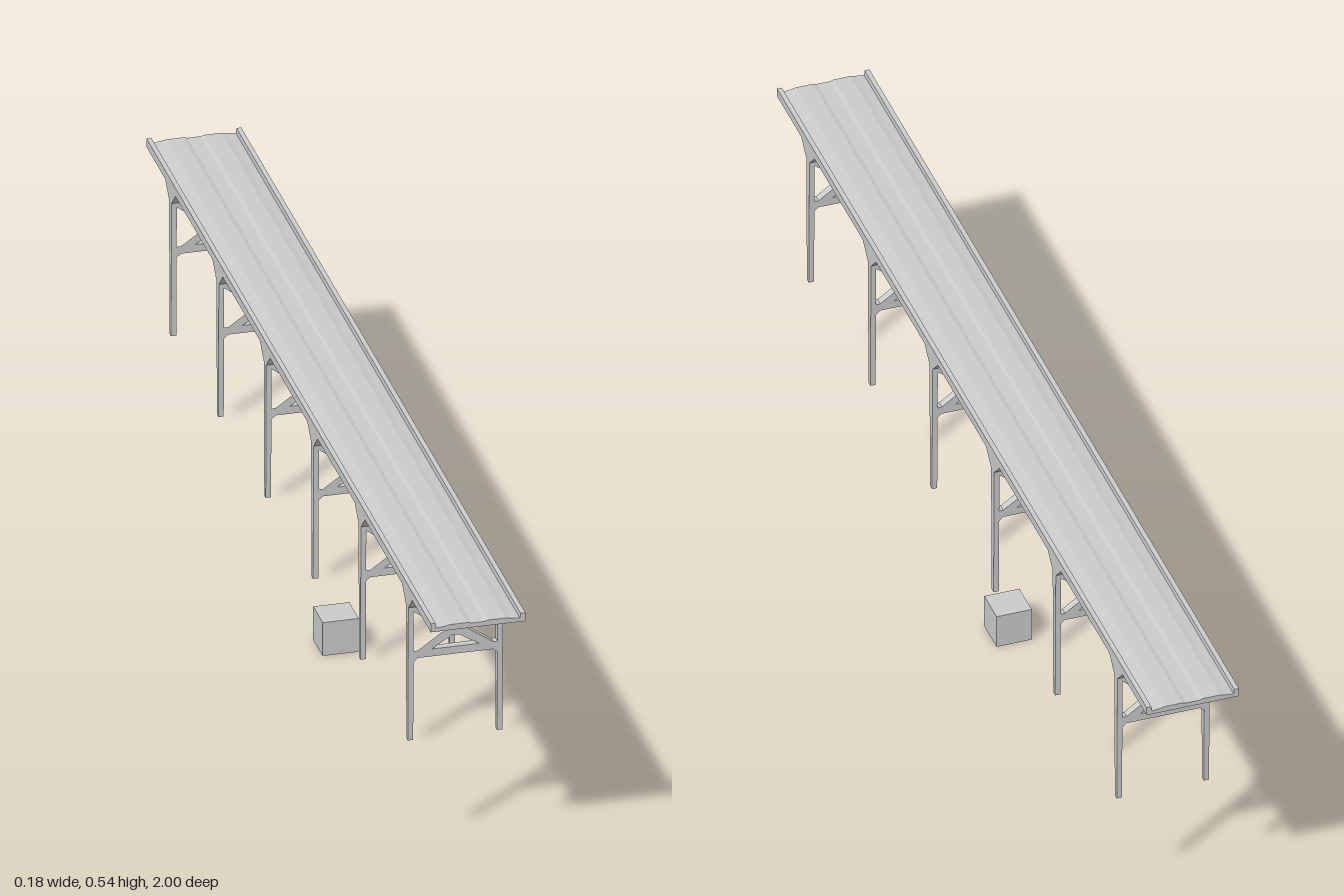
import * as THREE from 'three';

const material = new THREE.MeshStandardMaterial({ color: 0xcccccc, flatShading: true });

const toShape = (pts) => new THREE.Shape(pts.map(([x, y]) => new THREE.Vector2(x, y)));

// Completes a right-hand half profile with its mirror image
const mirrored = (half) => [...half, ...half.map(([x, y]) => [-x, y]).reverse()];

// Extrusion centred on z = 0
function extrude(shape, depth) {
  const geometry = new THREE.ExtrudeGeometry(shape, { depth, bevelEnabled: false });
  return geometry.translate(0, 0, -depth / 2);
}

function addMesh(parent, name, geometry) {
  const mesh = new THREE.Mesh(geometry, material);
  mesh.name = name;
  parent.add(mesh);
  return mesh;
}

// Two legs, crossbeam and X brace in one frame, thinner towards the ground
function frameGeometry() {
  const shape = toShape(mirrored([
    [0.007, 0.455], [0.061, 0.5], [0.088, 0.5], [0.088, 0.23],
    [0.078, 0.23], [0.078, 0.388], [0.07, 0.395],
  ]));
  // Openings between the brace arms: below the crossing and at each side
  const side = [[0.078, 0.49], [0.019, 0.446], [0.07, 0.41], [0.078, 0.41]];
  const openings = [
    mirrored([[0.044, 0.41], [0.007, 0.433]]),
    side,
    side.map(([x, y]) => [-x, y]),
  ];
  shape.holes = openings.map(toShape);

  const geometry = extrude(shape, 1);
  const pos = geometry.attributes.position;
  for (let i = 0; i < pos.count; i++) {
    const t = (pos.getY(i) - 0.23) / 0.27;
    pos.setZ(i, pos.getZ(i) * THREE.MathUtils.lerp(0.01, 0.017, t));
  }
  geometry.computeVertexNormals();
  return geometry;
}

export function createModel() {
  const model = new THREE.Group();
  model.name = 'viaduct';

  // Deck with raised kerbs and a gently crowned carriageway
  const deck = toShape(mirrored([
    [0.012, 0.536], [0.02, 0.538], [0.052, 0.538], [0.062, 0.536], [0.078, 0.534],
    [0.079, 0.544], [0.088, 0.544], [0.088, 0.527],
  ]));
  addMesh(model, 'deck', extrude(deck, 2));

  // Piers: a flared haunch across the full width on top of a braced frame
  const frame = frameGeometry();
  const haunch = extrude(toShape(mirrored([[0.037, 0.528], [0.0085, 0.499]])), 0.176);
  haunch.rotateY(Math.PI / 2);
  for (let i = 0; i < 6; i++) {
    const pier = new THREE.Group();
    pier.name = `pier${i + 1}`;
    pier.position.z = (i - 2.5) / 3;
    addMesh(pier, 'bracedFrame', frame);
    addMesh(pier, 'haunch', haunch);
    model.add(pier);
  }

  // Separate block on the ground below the middle
  const size = 0.067;
  addMesh(model, 'groundBlock', new THREE.BoxGeometry(size, size, size)).position.y = size / 2;

  return model;
}
